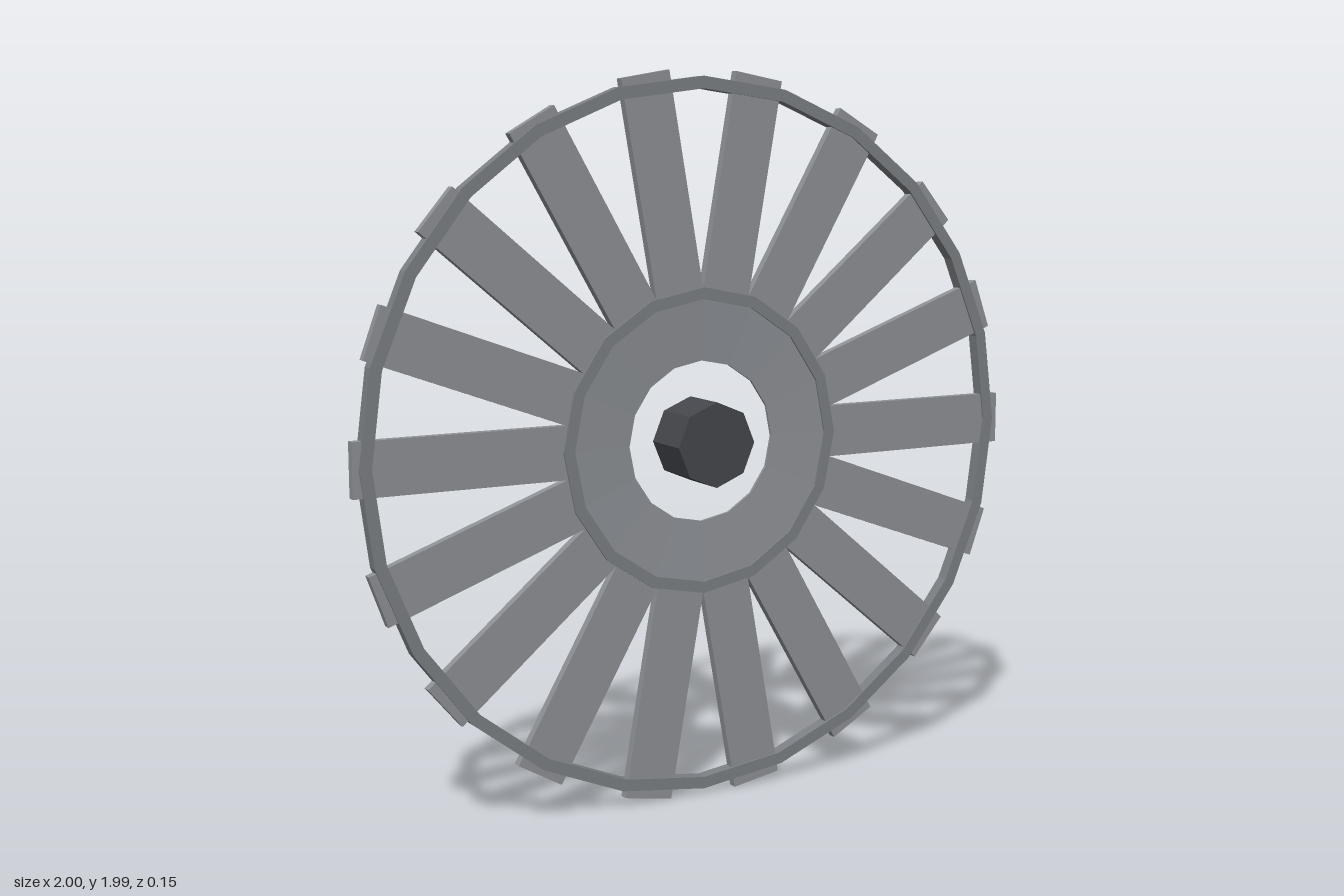
import * as THREE from 'three';

const CENTRE_Y = 0.997;
const WHEEL_Z = -0.014;
const SPOKES = 18;

const material = (color) => new THREE.MeshStandardMaterial({ color, flatShading: true });

// Faceted ring around z: closed profile, half thickness given at inner and outer radius
function ring(name, inner, outer, hInner, hOuter, sides, mat) {
  const profile = [
    [inner, -hInner], [outer, -hOuter], [outer, hOuter], [inner, hInner], [inner, -hInner],
  ].map(([r, y]) => new THREE.Vector2(r, y));
  const geometry = new THREE.LatheGeometry(profile, sides).rotateX(Math.PI / 2);
  const mesh = new THREE.Mesh(geometry, mat);
  mesh.name = name;
  return mesh;
}

export function createModel() {
  const model = new THREE.Group();
  model.name = 'spokedWheel';
  const rimGrey = material(0x7c8084);
  const spokeGrey = material(0x8e9196);
  const hubGrey = material(0x45474c);

  // Flat wheel: rim, inner collar and thin tapering plate
  const wheel = new THREE.Group();
  wheel.name = 'wheel';
  wheel.position.set(0, CENTRE_Y, WHEEL_Z);
  wheel.add(
    ring('rim', 0.95, 0.983, 0.018, 0.018, 24, rimGrey),
    ring('innerCollar', 0.39, 0.422, 0.018, 0.018, 16, rimGrey),
    ring('innerPlate', 0.222, 0.4, 0.004, 0.013, 16, spokeGrey),
  );

  // Broad flat spokes poking slightly through the rim
  const r0 = 0.4, r1 = 1.0;
  const spokeGeometry = new THREE.BoxGeometry(r1 - r0, 0.145, 0.025).translate((r0 + r1) / 2, 0, 0);
  for (let i = 0; i < SPOKES; i++) {
    const spoke = new THREE.Mesh(spokeGeometry, spokeGrey);
    spoke.name = 'spoke';
    spoke.rotation.z = (i / SPOKES) * Math.PI * 2;
    wheel.add(spoke);
  }
  model.add(wheel);

  // Free-standing octagonal hub in the central opening
  const hub = new THREE.Mesh(
    new THREE.CylinderGeometry(0.117, 0.117, 0.148, 8).rotateX(Math.PI / 2), hubGrey);
  hub.name = 'hub';
  hub.position.y = CENTRE_Y;
  model.add(hub);

  return model;
}
